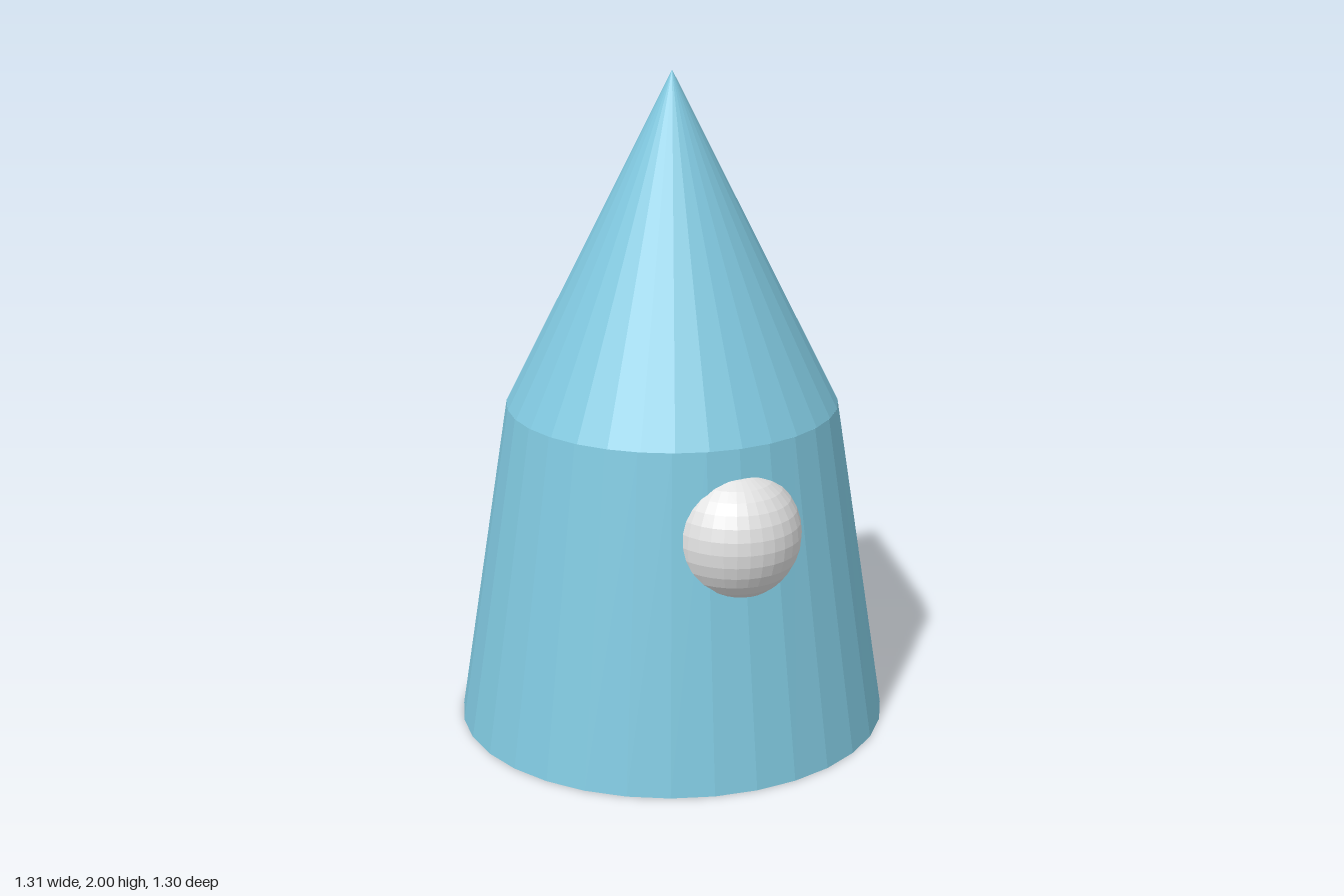
import * as THREE from 'three';

export function createModel() {
  const model = new THREE.Group();
  const blue = new THREE.MeshStandardMaterial({ color: 0x80c8df });
  const grey = new THREE.MeshStandardMaterial({ color: 0xe0e0e0 });
  blue.name = 'sky blue';
  grey.name = 'light grey';

  const add = (name, geometry, material, x, y, z) => {
    // Unshared corners with face normals give crisp facets
    const faceted = geometry.toNonIndexed();
    faceted.computeVertexNormals();
    const mesh = new THREE.Mesh(faceted, material);
    mesh.name = name;
    mesh.position.set(x, y, z);
    model.add(mesh);
  };

  // Tapered hull, its base very slightly oval
  const hull = new THREE.CylinderGeometry(0.5, 0.657, 1, 32, 1, false, -0.018);
  const p = hull.attributes.position;
  for (let i = 0; i < p.count; i++) {
    if (p.getY(i) < 0) p.setZ(i, p.getZ(i) * 0.986);
  }
  add('hull', hull, blue, 0, 0.5, 0);

  // Pointed nose
  add('noseCone', new THREE.ConeGeometry(0.5, 1, 32), blue, 0, 1.5, 0);

  // Round window bulging from the front
  add('porthole', new THREE.SphereGeometry(0.195, 32, 16), grey, 0, 0.73, 0.45);

  return model;
}
